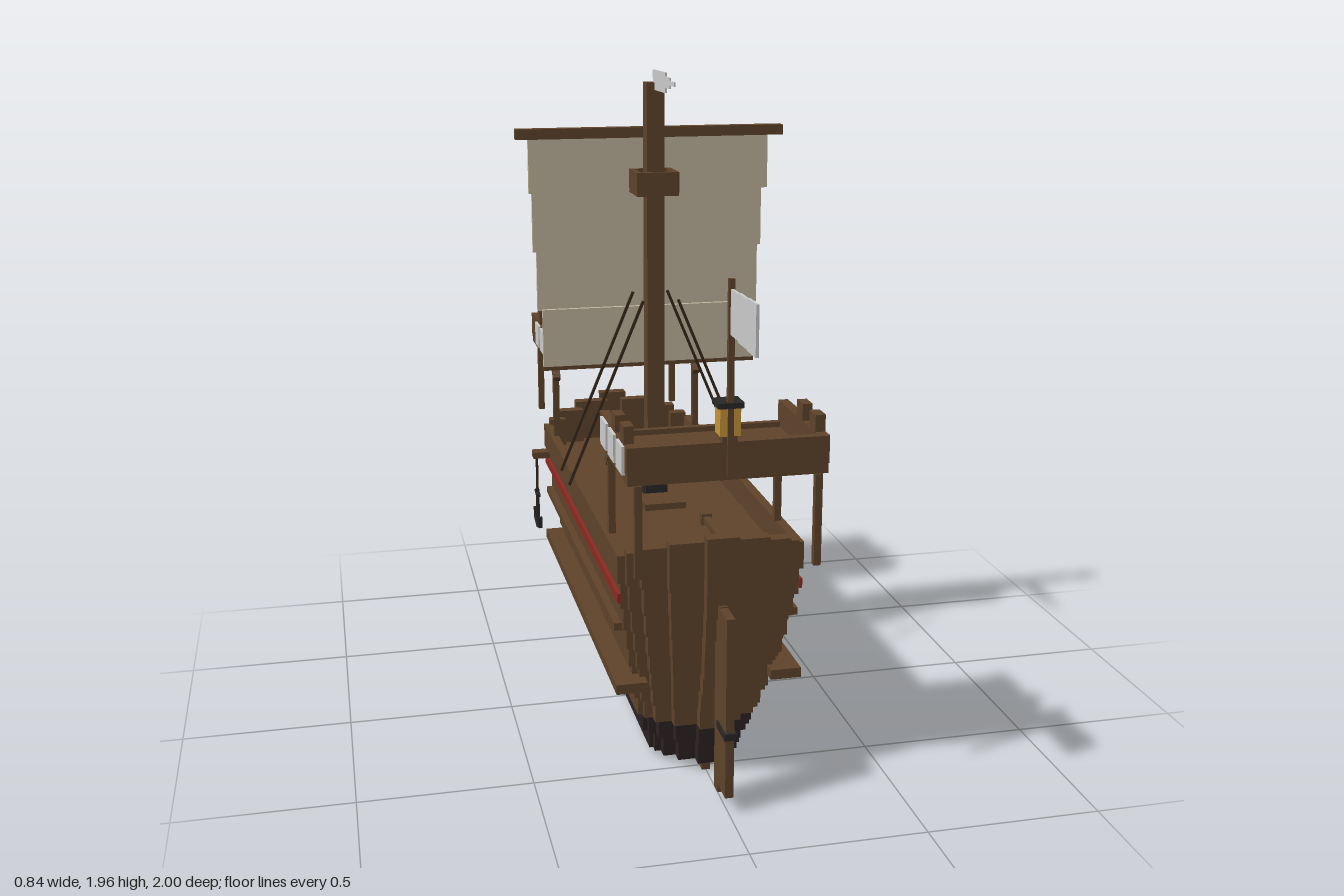
import * as THREE from 'three';

const paint = (name, color) => {
  const m = new THREE.MeshStandardMaterial({ color });
  m.name = name;
  return m;
};

export function createModel() {
  const ship = new THREE.Group();
  ship.name = 'sailingShip';
  const wood = paint('brownWood', 0x60442b);
  const tar = paint('tarredHull', 0x2c2224);
  const iron = paint('darkIron', 0x2a2727);
  const rope = paint('darkRope', 0x38281c);
  const red = paint('redStripe', 0x8f2a22);
  const canvas = paint('sailCanvas', 0xc5b9a0);
  const white = paint('paleCloth', 0xcdcdcd);
  const amber = paint('lanternGlass', 0xc9963a);

  // Box given by its minimum and maximum on each axis
  const box = (name, mat, x0, x1, y0, y1, z0, z1) => {
    const mesh = new THREE.Mesh(new THREE.BoxGeometry(x1 - x0, y1 - y0, z1 - z0), mat);
    mesh.position.set((x0 + x1) / 2, (y0 + y1) / 2, (z0 + z1) / 2);
    mesh.name = name;
    ship.add(mesh);
    return mesh;
  };
  // Square bar between two points
  const bar = (name, mat, a, b, t) => {
    const p = new THREE.Vector3(...a), q = new THREE.Vector3(...b);
    const mesh = new THREE.Mesh(new THREE.BoxGeometry(t, t, p.distanceTo(q)), mat);
    mesh.position.copy(p).add(q).multiplyScalar(0.5);
    mesh.lookAt(q);
    mesh.name = name;
    ship.add(mesh);
  };

  // Hull: stacked strakes whose ends step inwards [y0, y1, half width, stern z, bow z]
  const insets = [0, 0.035, 0.07, 0.105, 0.13];
  const widths = [0.17, 0.53, 0.79, 0.92, 1];
  const strakes = [
    [0.02, 0.09, 0.14, 0.53, -0.74], [0.09, 0.155, 0.165, 0.555, -0.765],
    [0.155, 0.22, 0.185, 0.58, -0.79], [0.22, 0.285, 0.2, 0.605, -0.81],
    [0.285, 0.345, 0.213, 0.635, -0.83], [0.345, 0.405, 0.225, 0.655, -0.85],
    [0.405, 0.47, 0.235, 0.67, -0.865], [0.47, 0.54, 0.246, 0.685, -0.885],
    [0.54, 0.62, 0.257, 0.7, -0.9],
  ];
  strakes.forEach(([y0, y1, w, stern, bow], n) => insets.forEach((d, i) =>
    box('hullStrake', n < 2 ? tar : wood, -w * widths[i], w * widths[i], y0, y1, bow + d, stern - d)));

  // Bulwark around the deck, rising towards both ends
  const tops = [0.777, 0.757, 0.736, 0.715];
  const rail = 0.267;
  for (const s of [-1, 1]) {
    box('bulwarkSide', wood, s > 0 ? 0.24 : -rail, s > 0 ? rail : -0.24, 0.62, 0.7, -0.78, 0.58);
    box('redStripe', red, s * 0.2615 - 0.0045, s * 0.2615 + 0.0045, 0.56, 0.588, -0.775, 0.575);
    box('lowerWale', wood, Math.min(s * 0.18, s * 0.27), Math.max(s * 0.18, s * 0.27), 0.283, 0.312, -0.76, 0.57);
    box('upperWale', wood, Math.min(s * 0.2, s * 0.268), Math.max(s * 0.2, s * 0.268), 0.46, 0.482, -0.73, 0.53);
    const end = s > 0 ? 0.71 : -0.91;
    tops.forEach((top, i) => {
      const z = [end - s * insets[i], end - s * (insets[i] + 0.04)];
      const w = rail * widths[i], inner = i ? rail * widths[i - 1] - 0.02 : 0;
      const spans = i ? [[inner, w], [-w, -inner]] : [[-w, w]];
      for (const [a, b] of spans) box('endBulwark', wood, a, b, 0.62, top, Math.min(...z), Math.max(...z));
    });
  }

  // Keel, stem, sternpost, rudder and tiller
  box('keel', wood, -0.012, 0.012, 0, 0.025, -0.74, 0.53);
  box('stem', wood, -0.012, 0.012, 0.025, 0.7, -0.912, -0.877);
  box('sternpost', wood, -0.012, 0.012, 0.025, 0.58, 0.67, 0.71);
  box('rudder', wood, -0.012, 0.012, 0.05, 0.577, 0.71, 0.792);
  box('rudderBand', iron, -0.017, 0.017, 0.226, 0.246, 0.71, 0.8);
  box('tiller', wood, -0.01, 0.01, 0.757, 0.775, 0.51, 0.7);
  box('tillerKnob', wood, -0.015, 0.015, 0.75, 0.782, 0.495, 0.522);

  // Raised castles at stern and bow; s points outboard along z
  const castle = (s, inner, outer, shieldZ, merlonZ) => {
    const z0 = Math.min(inner, outer), z1 = Math.max(inner, outer);
    box('castleFloor', wood, -0.272, 0.272, 0.957, 0.985, z0, z1);
    box('castleEndWall', wood, -0.265, 0.265, 0.985, 1.06, s > 0 ? z1 - 0.025 : z0, s > 0 ? z1 : z0 + 0.025);
    box('castleInnerSill', wood, -0.265, 0.265, 0.985, 1.0, s > 0 ? z0 : z1 - 0.02, s > 0 ? z0 + 0.02 : z1);
    for (const m of [-1, 1]) {
      const x = m * 0.26;
      box('castleSideWall', wood, x - 0.014, x + 0.014, 0.985, 1.06, z0, z1);
      for (const z of merlonZ) box('merlon', wood, x - 0.014, x + 0.014, 1.06, 1.107, z - 0.027, z + 0.027);
      for (const z of shieldZ) box('shield', white, m * 0.278 - 0.0045, m * 0.278 + 0.0045, 0.98, 1.057, z - 0.04, z + 0.04);
      for (const z of [inner + s * 0.01, outer - s * 0.003])
        box('castlePost', wood, m * 0.245 - 0.01, m * 0.245 + 0.01, 0.7, 0.957, z - 0.01, z + 0.01);
      bar('castleBracket', wood, [m * 0.245, 0.953, inner + s * 0.03], [m * 0.245, 0.905, inner - s * 0.015], 0.024);
    }
  };
  castle(1, 0.375, 0.757, [0.69, 0.577, 0.465], [0.69, 0.577]);
  castle(-1, -0.618, -0.99, [-0.695, -0.805], [-0.695, -0.805]);

  // Mast with foot, hatch and lookout
  box('mast', wood, -0.027, 0.027, 0.62, 1.925, -0.195, -0.14);
  box('mastFoot', iron, -0.036, 0.036, 0.62, 0.685, -0.204, -0.131);
  box('hatch', wood, -0.065, 0.065, 0.62, 0.64, -0.11, 0);
  box('lookoutFloor', wood, -0.065, 0.065, 1.588, 1.61, -0.228, -0.102);
  for (const s of [-1, 1]) {
    box('lookoutSide', wood, s * 0.058 - 0.008, s * 0.058 + 0.008, 1.6, 1.66, -0.228, -0.102);
    box('lookoutEnd', wood, -0.065, 0.065, 1.6, 1.66, -0.165 + s * 0.055 - 0.008, -0.165 + s * 0.055 + 0.008);
    for (const z of [-0.07, -0.225])
      bar('shroud', rope, [s * 0.293, 0.7, z], [s * 0.055, 1.273, z], 0.008);
  }

  // Yard and billowing sail of four panels
  box('yard', wood, -0.418, 0.418, 1.757, 1.788, -0.235, -0.195);
  [[1.59, 1.765, 0.378, -0.232], [1.405, 1.6, 0.366, -0.256],
    [1.22, 1.41, 0.355, -0.256], [1.04, 1.225, 0.342, -0.238]].forEach(([y0, y1, w, z]) =>
    box('sailPanel', canvas, -w, w, y0, y1, z - 0.007, z + 0.007));
  box('sailFootRope', wood, -0.342, 0.342, 1.03, 1.042, -0.246, -0.23);
  box('sailCrossUpright', white, -0.038, 0.038, 1.145, 1.67, -0.272, -0.264);
  box('sailCrossArm', white, -0.232, 0.232, 1.45, 1.525, -0.271, -0.263);

  // Pennant, stern flag and lantern
  [[-0.145, 0.0, 1.903, 1.962], [-0.04, 0.06, 1.918, 1.95], [0.03, 0.118, 1.928, 1.941]].forEach(([a, b, y0, y1], i) =>
    box('pennant', white, -0.003 + i * 0.0005, 0.003 - i * 0.0005, y0, y1, i ? a + 0.03 : a - 0.02, b));
  box('flagPole', wood, -0.008, 0.008, 0.97, 1.492, 0.75, 0.766);
  [[0.766, 0.84, 1.348, 1.467], [0.84, 0.92, 1.344, 1.47], [0.92, 1.0, 1.342, 1.473]].forEach(([a, b, y0, y1]) =>
    box('flag', white, -0.004, 0.004, y0, y1, a, b));
  box('lantern', amber, -0.028, 0.028, 1.077, 1.153, 0.709, 0.763);
  box('lanternCap', iron, -0.035, 0.035, 1.153, 1.168, 0.702, 0.77);
  box('lanternBase', wood, -0.02, 0.02, 1.055, 1.077, 0.715, 0.757);

  // Anchor hanging from its beam at the bow
  box('anchorBeam', wood, -0.315, -0.2, 0.59, 0.612, -0.765, -0.72);
  box('anchorRope', rope, -0.305, -0.297, 0.465, 0.59, -0.746, -0.738);
  box('anchorShank', iron, -0.307, -0.295, 0.33, 0.47, -0.748, -0.736);
  box('anchorStock', iron, -0.307, -0.295, 0.45, 0.462, -0.772, -0.712);
  for (const s of [-1, 1]) {
    bar('anchorArm', iron, [-0.301, 0.335, -0.742], [-0.301, 0.35, -0.742 + s * 0.055], 0.013);
    bar('anchorFluke', iron, [-0.301, 0.345, -0.742 + s * 0.055], [-0.301, 0.385, -0.742 + s * 0.06], 0.013);
  }
  return ship;
}
